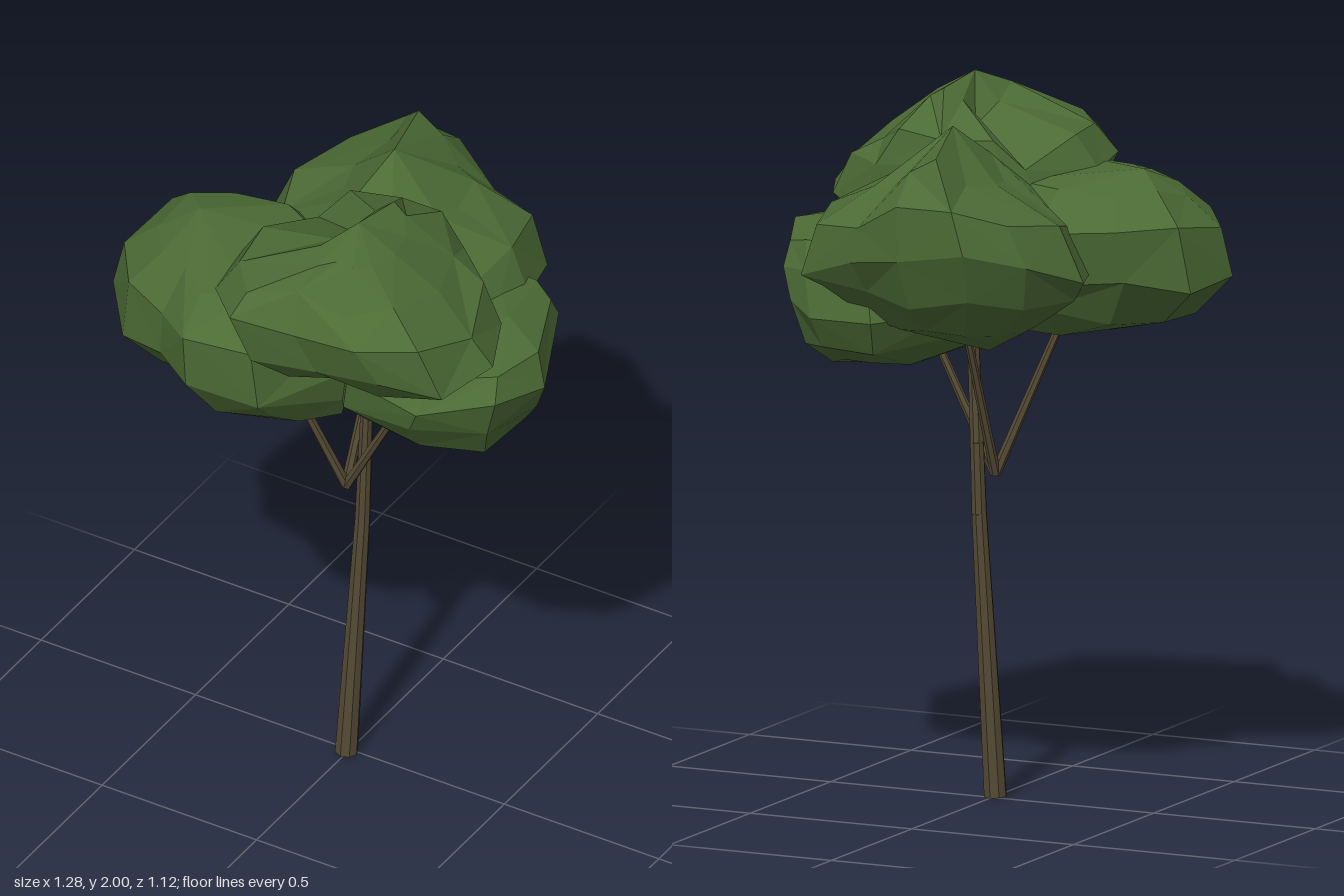
import * as THREE from 'three';

const leafMaterial = new THREE.MeshStandardMaterial({ color: 0x4c6b35, flatShading: true });
const barkMaterial = new THREE.MeshStandardMaterial({ color: 0x544a34, flatShading: true });

// Each clump: a plan outline in unit [x, z, lift], and levels [y, xMin, xMax, zMin, zMax]
// from the lowest point to the peak. Lift raises or lowers that side of the upper levels.
const clumps = {
  leftFoliage: {
    outline: [[-0.92, -0.6], [-0.54, -0.94], [0.1, -1], [0.85, -0.6], [1, 0.15], [0.62, 0.86],
      [0.1, 1], [-0.27, 0.68], [-0.67, 0.5, -0.02], [-1, 0, -0.02]],
    levels: [[1.29, -0.05, -0.05, 0.18, 0.18], [1.32, -0.28, 0.1, 0.03, 0.34], [1.38, -0.53, 0.13, -0.04, 0.44],
      [1.49, -0.64, 0.15, -0.12, 0.54], [1.65, -0.61, 0.12, -0.15, 0.55], [1.74, -0.51, 0.0, -0.05, 0.42],
      [1.785, -0.4, -0.4, 0.14, 0.14]],
  },
  topFoliage: {
    outline: [[-0.8, -0.67, -0.09], [-0.55, -0.85], [-0.06, -1, 0.02], [0.43, -0.94], [0.78, -0.6, -0.02],
      [1, 0, -0.02], [0.85, 0.58], [0.43, 0.82], [-0.09, 0.82], [-0.55, 1], [-0.9, 0.58], [-1, 0, -0.03]],
    levels: [[1.5, 0.07, 0.07, 0.26, 0.26], [1.57, -0.06, 0.48, -0.03, 0.43], [1.65, -0.18, 0.59, -0.1, 0.52],
      [1.78, -0.22, 0.53, -0.11, 0.56], [1.86, -0.16, 0.41, -0.1, 0.5], [1.95, 0.09, 0.28, 0.06, 0.39],
      [2.0, 0.165, 0.165, 0.225, 0.225]],
  },
  backFoliage: {
    outline: [[-1, 0, -0.06], [-0.8, -0.62, -0.03], [-0.47, -1, 0.04], [0.03, -0.95], [0.45, -0.75, -0.05],
      [0.86, -0.62, -0.07], [1, 0.03, -0.06], [0.95, 0.5, -0.05], [0.33, 0.9, -0.02], [-0.33, 1],
      [-0.86, 0.5, -0.07]],
    levels: [[1.3, -0.08, -0.08, -0.18, -0.18], [1.38, -0.24, 0.24, -0.4, 0], [1.48, -0.37, 0.38, -0.5, 0.04],
      [1.61, -0.41, 0.43, -0.56, 0.05], [1.74, -0.34, 0.37, -0.56, 0.03], [1.84, -0.14, 0.2, -0.45, -0.06],
      [1.93, 0.02, 0.02, -0.205, -0.205]],
  },
  rightFoliage: {
    outline: [[0.3, -0.95], [0.58, -0.8], [1, 0.09], [0.85, 0.65], [0.27, 1], [-0.5, 0.88],
      [-0.95, 0.35], [-0.88, -0.5], [-0.33, -1]],
    levels: [[1.21, 0.39, 0.39, -0.08, -0.08], [1.23, 0.17, 0.47, -0.2, 0.08], [1.3, 0.03, 0.55, -0.33, 0.22],
      [1.4, -0.02, 0.6, -0.38, 0.3], [1.5, 0.0, 0.64, -0.35, 0.32], [1.58, 0.1, 0.61, -0.3, 0.25],
      [1.62, 0.48, 0.48, -0.06, -0.06]],
  },
};

// Lofts a faceted clump through its levels, with a slight wave in the rows
function foliageGeometry({ outline, levels }) {
  const n = outline.length;
  const last = levels.length - 1;
  const positions = [];
  const index = [];
  levels.forEach(([y, x0, x1, z0, z1], k) => {
    const inner = k > 0 && k < last;
    const wave = inner ? (k === 1 || k === last - 1 ? 0.008 : 0.02) : 0;
    outline.forEach(([ox, oz, lift = 0], i) => positions.push(
      (x0 + x1) / 2 + ox * (x1 - x0) / 2,
      y + wave * Math.sin(i * 2.4 + k * 1.7) + (k > 2 && inner ? lift : 0),
      (z0 + z1) / 2 + oz * (z1 - z0) / 2,
    ));
  });
  for (let k = 0; k < last; k++) {
    for (let i = 0; i < n; i++) {
      const a = k * n + i;
      const b = k * n + (i + 1) % n;
      const c = a + n;
      const d = b + n;
      if (k === 0) index.push(a, c, d);
      else if (k === last - 1) index.push(a, c, b);
      else if ((i + k) % 2) index.push(a, c, b, b, c, d);
      else index.push(a, c, d, a, d, b);
    }
  }
  const geometry = new THREE.BufferGeometry();
  geometry.setAttribute('position', new THREE.Float32BufferAttribute(positions, 3));
  geometry.setIndex(index);
  geometry.computeVertexNormals();
  return geometry;
}

// Tapered limb running through points [x, y, z, radius]
function limb(name, points, sides) {
  const group = new THREE.Group();
  group.name = name;
  for (let i = 0; i < points.length - 1; i++) {
    const a = new THREE.Vector3(...points[i]);
    const b = new THREE.Vector3(...points[i + 1]);
    const axis = b.clone().sub(a);
    const mesh = new THREE.Mesh(
      new THREE.CylinderGeometry(points[i + 1][3], points[i][3], axis.length(), sides),
      barkMaterial,
    );
    mesh.name = name + 'Segment';
    mesh.position.copy(a).add(b).multiplyScalar(0.5);
    mesh.quaternion.setFromUnitVectors(new THREE.Vector3(0, 1, 0), axis.normalize());
    group.add(mesh);
  }
  return group;
}

export function createModel() {
  const tree = new THREE.Group();
  tree.name = 'tree';

  // Leaning trunk, continuing up into the top clump
  tree.add(limb('trunk', [[-0.004, 0, 0.012, 0.033], [0.034, 0.8, -0.012, 0.022],
    [0.041, 1.0, -0.012, 0.02], [0.06, 1.32, 0, 0.017], [0.1, 1.65, 0.1, 0.01]], 8));

  // Three thin branches fork from one point, one to each lower clump
  const fork = [-0.003, 0.91, 0.015, 0.015];
  const tips = {
    leftBranch: [-0.19, 1.43, 0.14, 0.01],
    rightBranch: [0.23, 1.34, 0.04, 0.01],
    backBranch: [0.012, 1.42, -0.17, 0.01],
  };
  for (const [name, tip] of Object.entries(tips)) tree.add(limb(name, [fork, tip], 6));

  // Canopy of four overlapping clumps
  const canopy = new THREE.Group();
  canopy.name = 'canopy';
  for (const [name, clump] of Object.entries(clumps)) {
    const mesh = new THREE.Mesh(foliageGeometry(clump), leafMaterial);
    mesh.name = name;
    canopy.add(mesh);
  }
  tree.add(canopy);
  return tree;
}
